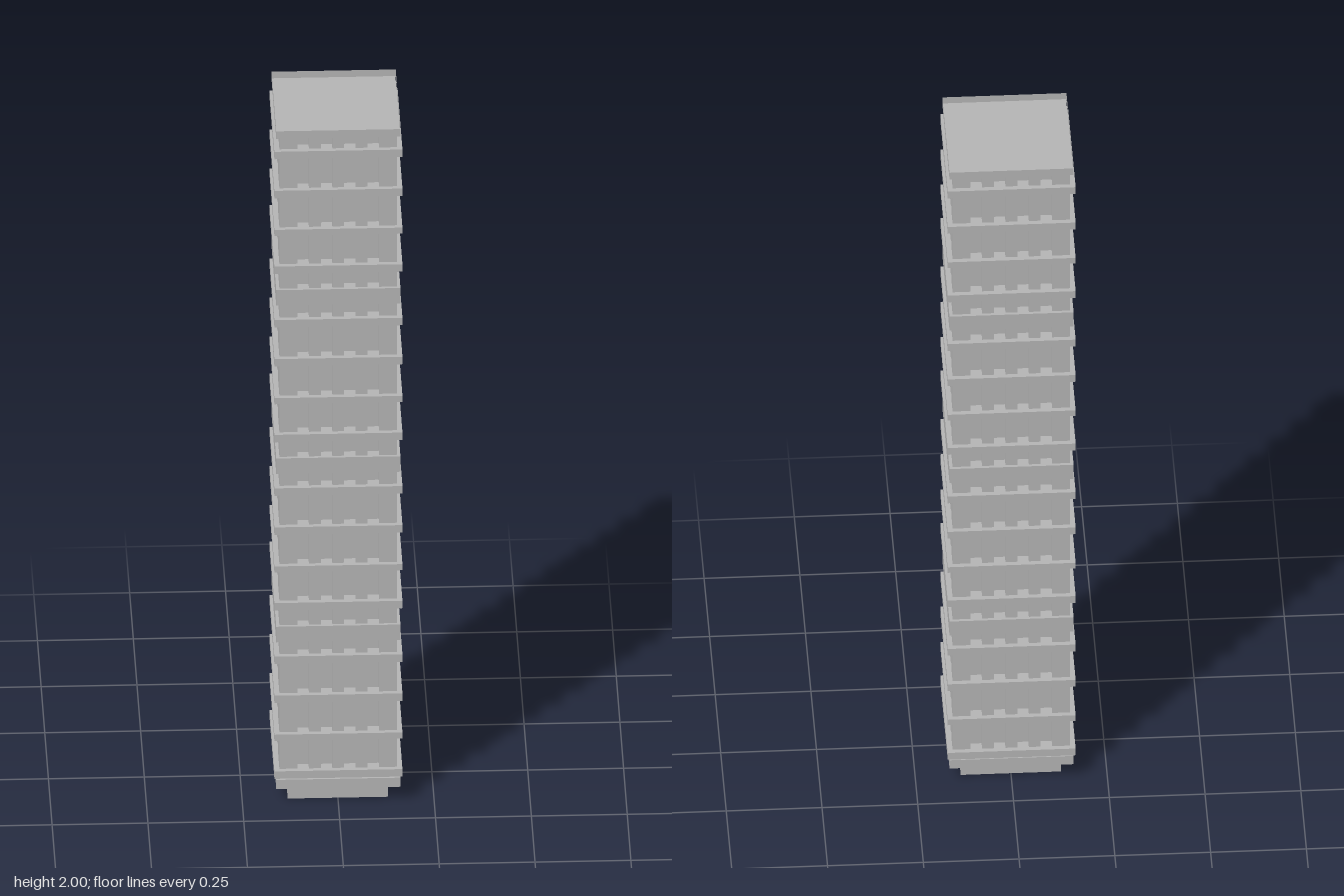
import * as THREE from 'three';

export function createModel() {
  const tower = new THREE.Group();
  tower.name = 'tower';
  const concrete = new THREE.MeshStandardMaterial({ color: 0xb4b4b4 });
  concrete.name = 'concrete';
  const rimConcrete = new THREE.MeshStandardMaterial({ color: 0xb4b4b4, side: THREE.DoubleSide });
  rimConcrete.name = 'concreteRim';

  const box = (name, w, h, d, x, y, z, parent = tower) => {
    const mesh = new THREE.Mesh(new THREE.BoxGeometry(w, h, d), concrete);
    mesh.name = name;
    mesh.position.set(x, y, z);
    parent.add(mesh);
    return mesh;
  };
  // square slab from half width and bottom / top heights
  const slab = (name, half, y0, y1) =>
    box(name, half * 2, y1 - y0, half * 2, 0, (y0 + y1) / 2, 0);

  // plinth, first ledge and recessed core
  slab('plinth', 0.131, 0, 0.046);
  slab('baseLedge', 0.162, 0.046, 0.073);
  slab('core', 0.13, 0.073, 1.98);

  // corner piers and three pillars on each face
  const bottom = 0.073, top = 1.98;
  const height = top - bottom, middle = (top + bottom) / 2;
  for (const sx of [-1, 1]) {
    for (const sz of [-1, 1]) {
      box('cornerPier', 0.047, height, 0.047, sx * 0.13, middle, sz * 0.13);
    }
  }
  for (let side = 0; side < 4; side++) {
    const face = new THREE.Group();
    face.name = 'facadePillars';
    face.rotation.y = side * Math.PI / 2;
    for (const x of [-0.061, 0, 0.061]) {
      box('pillar', 0.031, height, 0.033, x, middle, 0.137, face);
    }
    tower.add(face);
  }

  // four storeys per section, closed by a broad belt
  for (let section = 0; section < 4; section++) {
    const y = section * 0.5;
    for (const offset of [0.09, 0.201, 0.315, 0.431]) {
      const h = offset === 0.201 ? 0.009 : 0.011;
      slab('floorLedge', 0.167, y + offset - h, y + offset + h);
    }
    if (section < 3) slab('belt', 0.162, y + 0.482, y + 0.528);
  }

  // roof deck with a thin raised rim
  slab('roofDeck', 0.161, 1.978, 1.981);
  for (let side = 0; side < 4; side++) {
    const rim = new THREE.Mesh(new THREE.PlaneGeometry(0.324, 0.022), rimConcrete);
    rim.name = 'roofRim';
    const angle = side * Math.PI / 2;
    rim.rotation.y = angle;
    rim.position.set(Math.sin(angle) * 0.162, 1.989, Math.cos(angle) * 0.162);
    tower.add(rim);
  }
  return tower;
}
